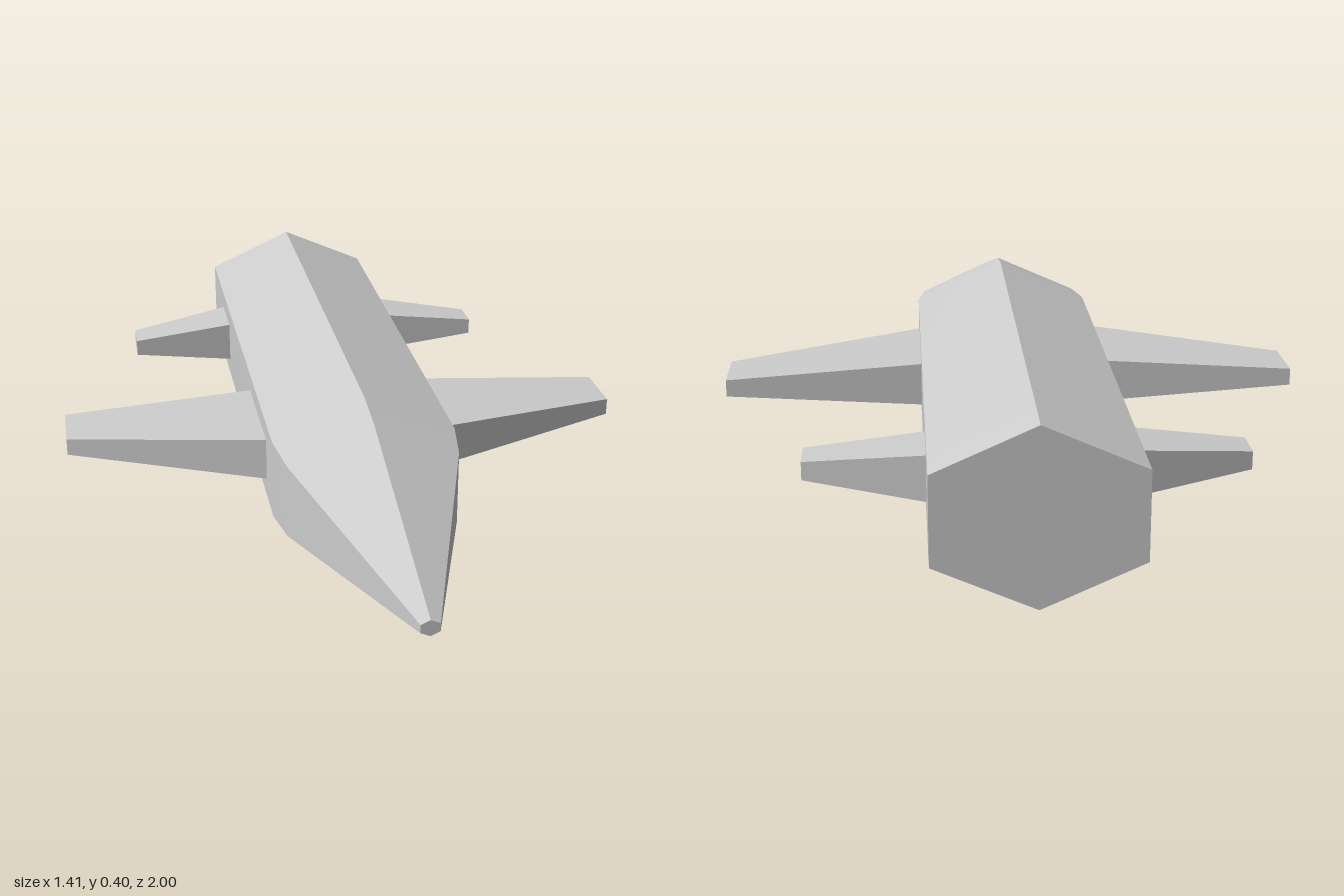
import * as THREE from 'three';
import { toCreasedNormals } from 'three/addons/utils/BufferGeometryUtils.js';

const material = new THREE.MeshStandardMaterial({ color: 0xcccccc });

// Closed skin over a row of equal rings, each counterclockwise seen from the far end.
function loft(rings) {
  const n = rings[0].length;
  const index = [];
  for (let r = 0; r < rings.length - 1; r++) {
    for (let i = 0; i < n; i++) {
      const a = r * n + i, b = r * n + (i + 1) % n;
      index.push(a, b, b + n, a, b + n, a + n);
    }
  }
  const last = (rings.length - 1) * n;
  for (let i = 1; i < n - 1; i++) {
    index.push(0, i + 1, i, last, last + i, last + i + 1);
  }
  const geometry = new THREE.BufferGeometry();
  geometry.setAttribute('position', new THREE.Float32BufferAttribute(rings.flat(2), 3));
  geometry.setIndex(index);
  return toCreasedNormals(geometry, Math.PI / 6);
}

function part(name, geometry) {
  const mesh = new THREE.Mesh(geometry, material);
  mesh.name = name;
  return mesh;
}

// Hexagonal cross-section of the hull
function hullRing(z, scale) {
  const hexagon = [[0.223, -0.1], [0.223, 0.1], [0, 0.2], [-0.223, 0.1], [-0.223, -0.1], [0, -0.2]];
  return hexagon.map(([x, y]) => [x * scale, 0.2 + y * scale, z]);
}

// Rectangular cross-section of a wing
function wingRing(x, halfHeight, back, front) {
  const low = 0.2 - halfHeight, high = 0.2 + halfHeight;
  return [[x, low, back], [x, high, back], [x, high, front], [x, low, front]];
}

// Tapered wing; root and tip are [x, halfHeight, back, front]
function wing(side, root, tip) {
  const rings = [root, tip].map(([x, ...rest]) => wingRing(x * side, ...rest));
  return loft(side > 0 ? rings : rings.reverse());
}

export function createModel() {
  const model = new THREE.Group();
  model.name = 'spacecraft';

  // Hull with shoulder, long nose and blunt tip
  const stations = [[-1, 1], [0.28, 1], [0.4, 0.92], [1, 0.095]];
  model.add(part('hull', loft(stations.map(([z, scale]) => hullRing(z, scale)))));

  // Main wings sweep at the front edge, tail fins at the back edge
  for (const [label, side] of [['left', 1], ['right', -1]]) {
    model.add(part(label + 'Wing', wing(side, [0.223, 0.053, -0.142, 0.168], [0.705, 0.021, -0.142, 0.01])));
    model.add(part(label + 'TailFin', wing(side, [0.223, 0.053, -0.77, -0.622], [0.49, 0.021, -0.708, -0.622])));
  }
  return model;
}
